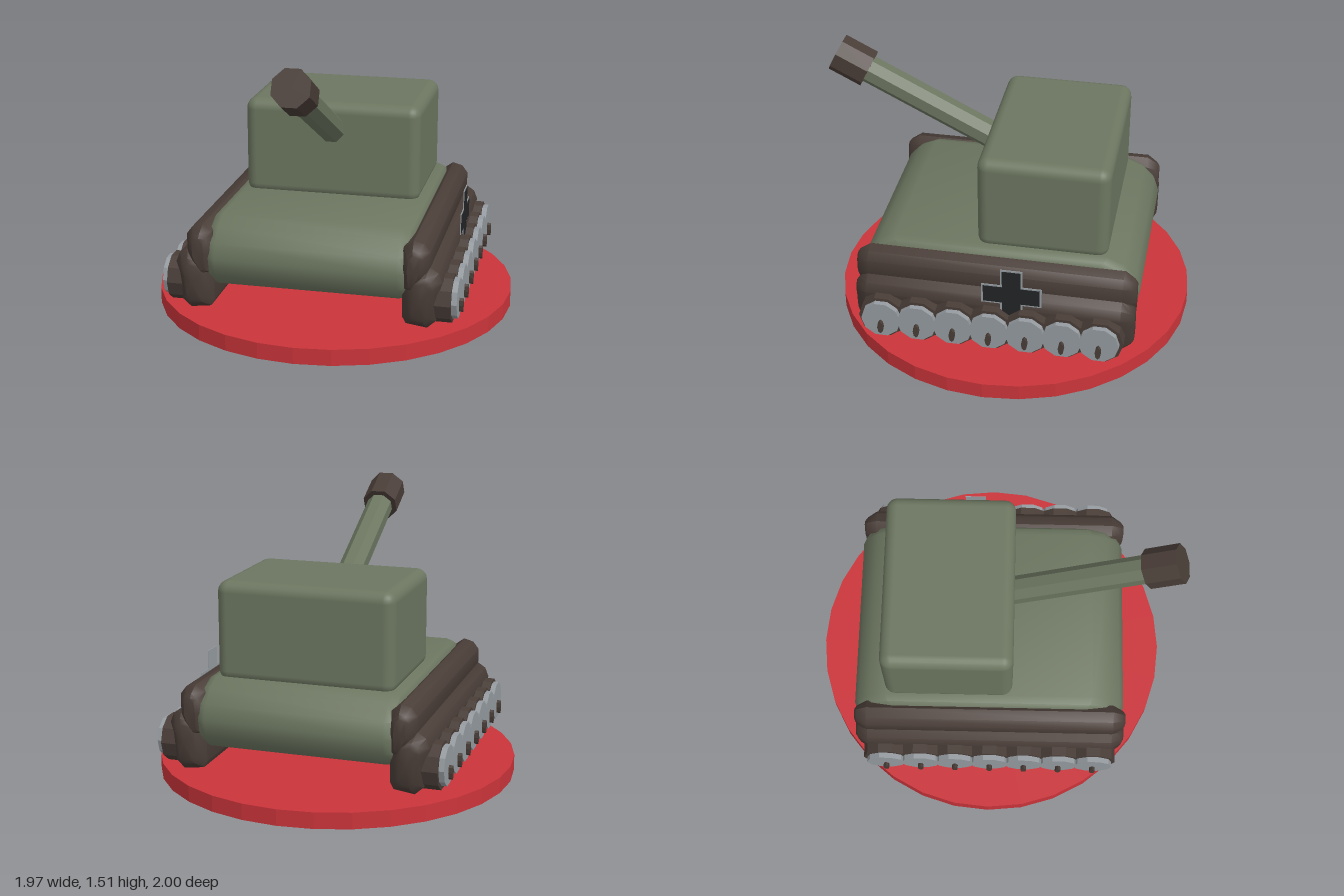
import * as THREE from 'three';
import { toCreasedNormals } from 'three/addons/utils/BufferGeometryUtils.js';
import { RoundedBoxGeometry } from 'three/addons/geometries/RoundedBoxGeometry.js';

// Closed body from a counter-clockwise [x, y] profile; stations are [z, scale about the profile centre]
function loft(profile, stations, crease) {
  const xs = profile.map(p => p[0]), ys = profile.map(p => p[1]);
  const cx = (Math.min(...xs) + Math.max(...xs)) / 2;
  const cy = (Math.min(...ys) + Math.max(...ys)) / 2;
  const n = profile.length, last = stations.length - 1;
  const pos = [], index = [];
  for (const [z, sx, sy] of stations)
    for (const [x, y] of profile) pos.push(cx + (x - cx) * sx, cy + (y - cy) * sy, z);
  pos.push(cx, cy, stations[0][0], cx, cy, stations[last][0]);
  const back = n * stations.length, front = back + 1;
  for (let i = 0; i < n; i++) {
    const j = (i + 1) % n;
    for (let s = 0; s < last; s++) {
      const a = s * n + i, b = s * n + j;
      index.push(a, b, b + n, a, b + n, a + n);
    }
    index.push(back, j, i, front, last * n + i, last * n + j);
  }
  const g = new THREE.BufferGeometry();
  g.setAttribute('position', new THREE.Float32BufferAttribute(pos, 3));
  g.setIndex(index);
  return toCreasedNormals(g, crease);
}

// Plus-shaped thin plate facing +x
function plusPlate(reach, half, depth) {
  const r = reach, h = half;
  const shape = new THREE.Shape([[h, -r], [h, -h], [r, -h], [r, h], [h, h], [h, r],
    [-h, r], [-h, h], [-r, h], [-r, -h], [-h, -h], [-h, -r]].map(p => new THREE.Vector2(...p)));
  return new THREE.ExtrudeGeometry(shape, { depth, bevelEnabled: false }).rotateY(Math.PI / 2);
}

export function createModel() {
  const model = new THREE.Group();
  model.name = 'tank';
  const material = (name, color, flatShading = false) => {
    const m = new THREE.MeshStandardMaterial({ color });
    m.name = name;
    m.flatShading = flatShading;
    return m;
  };
  const green = material('armourGreen', 0x6c7660);
  const brown = material('trackBrown', 0x493d37);
  const grey = material('wheelGrey', 0x959ba0);
  const black = material('markingBlack', 0x222426);
  const red = material('baseRed', 0xca343a);

  const add = (name, geometry, mat, x = 0, y = 0, z = 0, parent = model) => {
    const mesh = new THREE.Mesh(geometry, mat);
    mesh.name = name;
    mesh.position.set(x, y, z);
    parent.add(mesh);
    return mesh;
  };
  const flat = g => toCreasedNormals(g, 0.05);

  // Round display base
  add('base', flat(new THREE.CylinderGeometry(0.985, 0.985, 0.088, 32)), red, 0, 0.044, -0.016);

  // Hull: softened side profile carried across the width
  const half = [[0.58, 0.24], [0.67, 0.27], [0.735, 0.34], [0.752, 0.43], [0.725, 0.51], [0.66, 0.58], [0.57, 0.62]];
  const hullProfile = [...half, ...half.map(([a, b]) => [-a, b]).reverse()];
  const hull = loft(hullProfile, [[-0.54, 0.93, 0.8], [-0.52, 0.98, 0.94], [-0.48, 1, 1],
    [0.48, 1, 1], [0.52, 0.98, 0.94], [0.54, 0.93, 0.8]], 0.75).rotateY(Math.PI / 2);
  add('hull', hull, green, 0, 0, -0.018);

  // Turret
  add('turret', new RoundedBoxGeometry(0.965, 0.54, 0.7, 3, 0.06), green, 0, 0.86, -0.24);

  // Raised gun: group's z axis runs along the barrel
  const gun = new THREE.Group();
  gun.name = 'gun';
  gun.position.set(0, 0.995, 0.11);
  gun.rotation.x = -THREE.MathUtils.degToRad(27);
  model.add(gun);
  const octagon = (r, length) => flat(new THREE.CylinderGeometry(r, r, length, 8)
    .rotateY(Math.PI / 8).rotateX(Math.PI / 2));
  add('barrel', octagon(0.075, 0.92), green, 0, 0, 0.34, gun);
  add('muzzle', octagon(0.104, 0.19), brown, 0, 0, 0.855, gun);

  // Each track is an upper fender roll and a lower belt roll
  const upper = [[0.5, 0.33], [0.54, 0.31], [0.615, 0.39], [0.642, 0.44], [0.642, 0.54],
    [0.61, 0.582], [0.555, 0.597], [0.505, 0.56], [0.485, 0.46]];
  const lower = [[0.5, 0.18], [0.52, 0.145], [0.63, 0.13], [0.675, 0.17], [0.69, 0.33],
    [0.705, 0.38], [0.685, 0.43], [0.64, 0.46], [0.54, 0.44], [0.5, 0.36]];
  const ends = [[-0.75, 0.4, 0.6], [-0.735, 0.62, 0.75], [-0.68, 1, 1],
    [0.68, 1, 1], [0.735, 0.62, 0.75], [0.75, 0.4, 0.6]];

  for (const side of [1, -1]) {
    const track = new THREE.Group();
    track.name = side > 0 ? 'leftTrack' : 'rightTrack';
    model.add(track);
    const mirrored = p => side > 0 ? p : p.map(([x, y]) => [-x, y]).reverse();
    add('fender', loft(mirrored(upper), ends, 0.7), brown, 0, 0, -0.012, track);
    add('belt', loft(mirrored(lower), ends, 0.7), brown, 0, 0, -0.012, track);

    // Seven road wheels with tyre, disc and hub
    const drum = (r, width) => flat(new THREE.CylinderGeometry(r, r, width, 10).rotateZ(Math.PI / 2));
    for (let i = 0; i < 7; i++) {
      const z = 0.571 - i * 0.194;
      add('tyre', drum(0.127, 0.11), brown, side * 0.697, 0.265, z, track);
      add('wheelDisc', drum(0.107, 0.05), grey, side * 0.756, 0.268, z, track);
      const hub = new THREE.CylinderGeometry(0.016, 0.016, 0.04, 8).rotateZ(Math.PI / 2).scale(1, 2.4, 1);
      add('hub', flat(hub), brown, side * 0.782, 0.231, z, track);
    }
  }

  // Plain plus-shaped side plate with a pale border, on the left side only
  add('markingBorder', plusPlate(0.16, 0.059, 0.004), grey, 0.704, 0.472, -0.12);
  add('marking', plusPlate(0.15, 0.049, 0.003), black, 0.708, 0.472, -0.12);

  return model;
}
